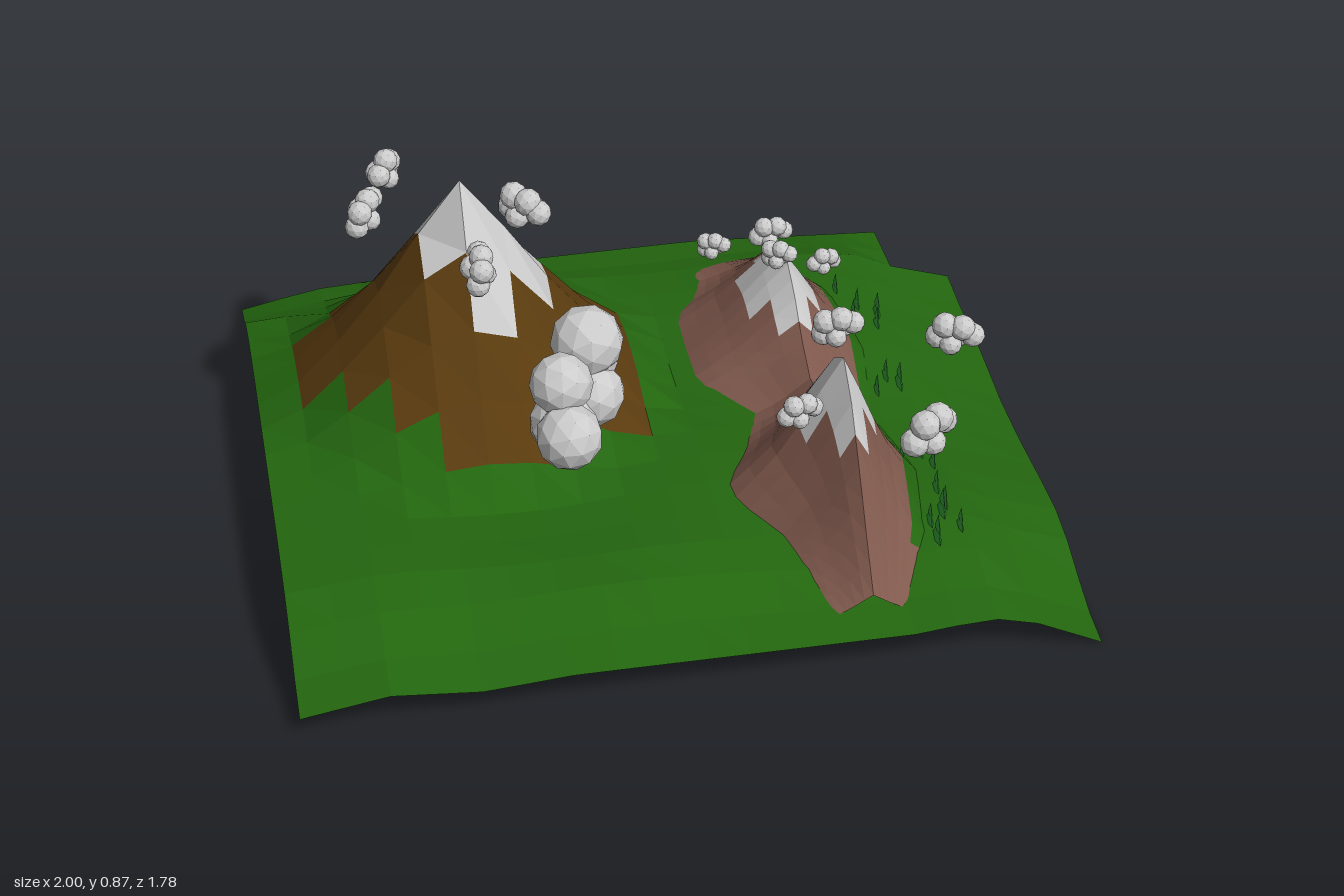
import * as THREE from 'three';
import { mergeGeometries } from 'three/addons/utils/BufferGeometryUtils.js';

const COLORS = { grass: 0x23660f, soil: 0x5a3b0f, rock: 0x80594d, snow: 0xcccccc, leaf: 0x36a03a, cloud: 0xcccccc };
const material = (key) => new THREE.MeshStandardMaterial({ color: COLORS[key], flatShading: true, side: THREE.DoubleSide });
const { smoothstep, lerp } = THREE.MathUtils;

// piecewise linear lookup through [position, value] pairs
function along(points, p) {
  if (p <= points[0][0]) return points[0][1];
  for (let i = 1; i < points.length; i++) {
    const [a, va] = points[i - 1], [b, vb] = points[i];
    if (p <= b) return lerp(va, vb, (p - a) / (b - a));
  }
  return points[points.length - 1][1];
}

// faceted sheet from rows of points; paint(row, col, midpoint) names a colour or null for a gap
function sheet(name, rows, paint) {
  const group = new THREE.Group();
  group.name = name;
  const parts = {};
  for (let j = 0; j < rows.length - 1; j++) {
    for (let i = 0; i < rows[j].length - 1; i++) {
      const a = rows[j][i], b = rows[j + 1][i], c = rows[j + 1][i + 1], d = rows[j][i + 1];
      const mid = a.clone().add(b).add(c).add(d).multiplyScalar(0.25);
      const key = paint(j, i, mid);
      if (!key) continue;
      (parts[key] ??= []).push(a, b, c, a, c, d);
    }
  }
  for (const key in parts) {
    const geo = new THREE.BufferGeometry().setFromPoints(parts[key]);
    geo.computeVertexNormals();
    const mesh = new THREE.Mesh(geo, material(key));
    mesh.name = name + key[0].toUpperCase() + key.slice(1);
    group.add(mesh);
  }
  return group;
}

// heights of the ground along its drooping borders
const FRONT_EDGE = [[-1, 0.05], [-0.78, 0.09], [-0.55, 0.07], [-0.33, 0.09], [0.55, 0.095], [0.7, 0.12], [0.83, 0.085], [1, 0]];
const BACK_EDGE = [[-1, 0.045], [-0.8, 0.09], [-0.3, 0.12], [0.3, 0.13], [0.83, 0.1]];
const SIDE_EDGE = [[-0.69, 0.05], [-0.3, 0.055], [-0.1, 0.04], [0.1, 0.05], [0.4, 0.08], [0.5, 0.08], [0.62, 0.05], [0.889, 0]];

// gently rolling ground blended into its borders
function groundHeight(x, z) {
  const roll = 0.012 * Math.sin(x * 7 + z * 3) + 0.008 * Math.sin(z * 9 - x * 4);
  let h = 0.19 + roll * Math.min(1, (1 - Math.abs(x)) * 4);
  h -= 0.05 * smoothstep(-x, 0.7, 1) * smoothstep(Math.abs(z), 0.3, 0.889);
  h = lerp(h, along(SIDE_EDGE, z), smoothstep(x, 0.65, 1));
  h = lerp(h, along(FRONT_EDGE, x), smoothstep(z, 0.58, 0.889));
  return lerp(h, along(BACK_EDGE, x), smoothstep(-z, 0.62, 0.889));
}

// ground with the tall peak raised out of the same grid
function land() {
  const slope = [[0, 0.83], [0.111, 0.68], [0.222, 0.51], [0.333, 0.37], [0.444, 0.25], [0.56, 0.17], [0.7, 0]];
  const soilMap = [ // from the third row of cells, first column at the left edge
    '...bbbb...',
    '..bbbbbb..',
    '.bbbbwwbb.',
    '.bbbwwwbb.',
    '.bbbwwwbb.',
    '..bbbwbbb.',
    '...bbbbbb.',
    '....bbb...',
  ];
  const xs = [];
  for (let i = 0; i <= 18; i++) xs.push(i <= 9 ? -1 + i / 9 : i < 18 ? (i - 9) * 0.83 / 8 : 1);
  const rows = [];
  for (let j = 0; j <= 16; j++) {
    const z = j === 2 ? -0.69 : -0.889 + j / 9;
    rows.push(xs.map((x) => {
      const peak = along(slope, Math.hypot(x + 0.444, z + 0.222));
      return new THREE.Vector3(x, Math.max(groundHeight(x, z), peak), z);
    }));
  }
  return sheet('land', rows, (j, i) => {
    if (j < 2 && i === 17) return null; // missing back corner
    const c = soilMap[j - 2]?.[i];
    return c === 'w' ? 'snow' : c === 'b' ? 'soil' : 'grass';
  });
}

// double-peaked ridge, lofted from cross-sections along z, with a grassy foot on its left flank
function ridge() {
  const crest = [[-0.7, 0.18], [-0.6, 0.25], [-0.5, 0.34], [-0.39, 0.42], [-0.28, 0.465], [-0.17, 0.42], [-0.06, 0.34],
    [0.05, 0.29], [0.12, 0.3], [0.21, 0.43], [0.3, 0.53], [0.4, 0.6], [0.5, 0.53], [0.6, 0.41], [0.7, 0.28], [0.8, 0.16]];
  const rightEdge = [[-0.7, 0.22], [-0.6, 0.24], [-0.5, 0.21], [-0.43, 0.15], [-0.12, 0.15], [0.05, 0.27], [0.22, 0.22], [0.34, 0.15], [0.42, 0.16], [0.57, 0.26], [0.8, 0.32]];
  const leftEdge = [[-0.7, 0.48], [-0.6, 0.55], [-0.48, 0.61], [-0.2, 0.64], [0.08, 0.61], [0.35, 0.65], [0.6, 0.61], [0.8, 0.53]];
  const section = [[0, 1], [0.25, 0.72], [0.5, 0.4], [0.75, 0.19], [1, 0]];
  const rows = [];
  for (let j = 0; j <= 30; j++) {
    const z = -0.7 + j * 0.05;
    const row = [];
    for (let i = -5; i <= 5; i++) {
      const t = Math.abs(i) / 5;
      const x = lerp(0.43, along(i < 0 ? rightEdge : leftEdge, z), t);
      const base = groundHeight(x, z) - 0.008;
      row.push(new THREE.Vector3(x, base + Math.max(0, along(crest, z) - base) * along(section, t), z));
    }
    rows.push(row);
  }
  return sheet('ridge', rows, (j, i, m) => {
    if (i === 9 && Math.abs(m.z) < 0.65) return 'grass';
    return m.y > (m.z > 0.08 ? 0.42 : 0.345) && Math.abs(i - 4.5) < 3 ? 'snow' : 'rock';
  });
}

// cloud made of faceted puffs, each [x, y, z, radius]
function cloud(name, puffs) {
  const parts = puffs.map(([x, y, z, r], k) => new THREE.IcosahedronGeometry(r, 1).rotateY(k * 0.9).translate(x, y, z));
  const mesh = new THREE.Mesh(mergeGeometries(parts), material('cloud'));
  mesh.name = name;
  return mesh;
}

// flat little fir with two tiers
function tree(x, z, h) {
  const low = new THREE.ConeGeometry(h * 0.45, h * 0.7, 5).translate(0, h * 0.35, 0);
  const high = new THREE.ConeGeometry(h * 0.3, h * 0.6, 5).translate(0, h * 0.7, 0);
  const mesh = new THREE.Mesh(mergeGeometries([low, high]), material('leaf'));
  mesh.name = 'tree';
  mesh.scale.x = 0.25;
  mesh.position.set(x, groundHeight(x, z) - 0.005, z);
  return mesh;
}

export function createModel() {
  const model = new THREE.Group();
  model.name = 'mountainLandscape';
  model.add(land(), ridge());

  // large cloud in front of the tall peak
  model.add(cloud('largeCloud', [
    [-0.225, 0.77, 0.46, 0.09], [-0.3, 0.615, 0.57, 0.085], [-0.3, 0.635, 0.655, 0.082],
    [-0.225, 0.65, 0.51, 0.085], [-0.305, 0.73, 0.57, 0.078], [-0.23, 0.71, 0.46, 0.08],
  ]));

  // small clouds: centre x, y, z, size, heading of the long axis, tilt
  const clouds = [
    [-0.62, 0.755, -0.43, 1, 1.2, -0.5], [-0.7, 0.81, -0.15, 1, 0.9, 0.4], [-0.43, 0.71, 0.01, 1, 1.4, 0.5], [-0.27, 0.69, -0.29, 1.15, -0.9, 0],
    [0.43, 0.41, -0.48, 0.85, 0, 0], [0.24, 0.49, -0.32, 0.7, -0.6, 0.3], [0.39, 0.53, -0.19, 0.75, -0.7, 0.3], [0.54, 0.42, -0.3, 0.7, 0.3, -0.3],
    [0.46, 0.55, 0.19, 1, -0.3, 0.3], [0.31, 0.49, 0.45, 0.85, 0.2, 0], [0.74, 0.57, 0.3, 1.05, -0.4, 0], [0.59, 0.535, 0.64, 1.2, 0.6, 0],
  ];
  for (const [x, y, z, size, heading, tilt] of clouds) {
    const puff = cloud('smallCloud', [
      [-0.04, -0.016, 0, 0.031], [-0.022, 0.024, 0.01, 0.032], [0.008, -0.012, -0.016, 0.033],
      [0.02, 0.022, 0.008, 0.032], [0.045, 0, 0, 0.03], [-0.005, -0.022, 0.018, 0.028],
    ]);
    puff.position.set(x, y, z);
    puff.rotation.set(0, heading, tilt);
    puff.scale.setScalar(size);
    model.add(puff);
  }

  // groves beside the ridge
  const groves = [[0.66, 0.57, 5], [0.66, 0.44, 1], [0.66, 0.28, 4], [0.67, -0.05, 3], [0.68, -0.37, 4], [0.64, -0.49, 1]];
  for (const [x, z, count] of groves) {
    for (let k = 0; k < count; k++) {
      model.add(tree(x + 0.04 * Math.sin(k * 2.4 + z), z + (k - (count - 1) / 2) * 0.03, 0.06 + 0.015 * (k % 3 === 1)));
    }
  }
  return model;
}
